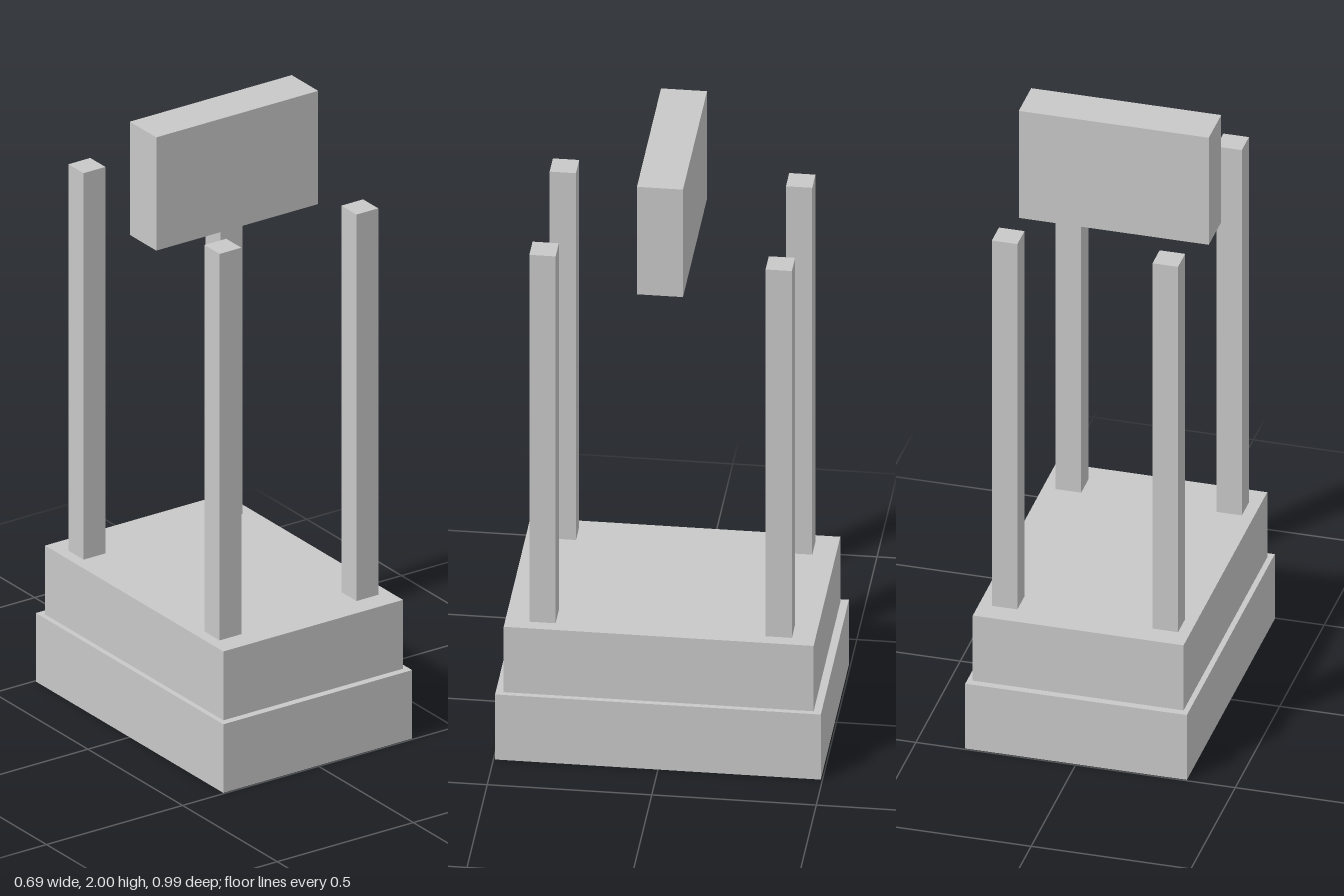
import * as THREE from 'three';

export function createModel() {
  const model = new THREE.Group();
  const paleGrey = new THREE.MeshStandardMaterial({ color: 0xc8c8c8 });
  paleGrey.name = 'paleGrey';

  // Box placed by its footprint centre and its bottom and top heights
  const addBox = (name, width, depth, bottom, top, x = 0, z = 0) => {
    const mesh = new THREE.Mesh(new THREE.BoxGeometry(width, top - bottom, depth), paleGrey);
    mesh.name = name;
    mesh.position.set(x, (bottom + top) / 2, z);
    model.add(mesh);
  };

  // Stepped base
  addBox('lowerBase', 0.694, 0.99, 0, 0.227);
  addBox('upperBase', 0.66, 0.942, 0.227, 0.455);

  // Four corner posts
  for (const [side, x] of [['Left', 0.25], ['Right', -0.253]]) {
    for (const [end, z] of [['front', 0.358], ['back', -0.36]]) {
      addBox(`${end}${side}Post`, 0.08, 0.08, 0.455, 1.735, x, z);
    }
  }

  // Floating block above the middle
  addBox('topBlock', 0.595, 0.14, 1.625, 2);

  return model;
}
